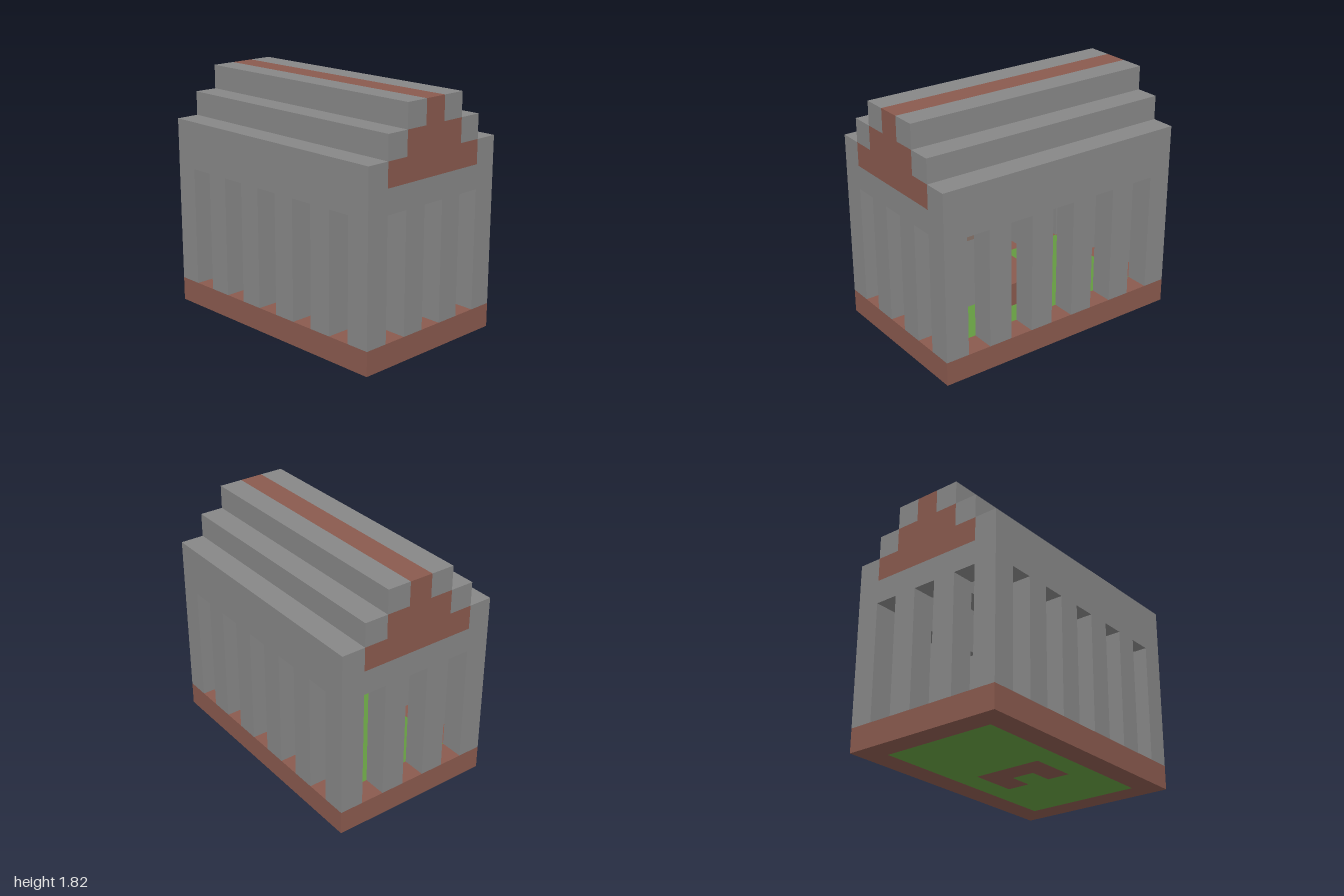
import * as THREE from 'three';

const U = 2 / 11; // side of one building block

const stone = new THREE.MeshStandardMaterial({ name: 'stone grey', color: 0x878787 });
const brick = new THREE.MeshStandardMaterial({ name: 'brick brown', color: 0x8a5a4e });
const grass = new THREE.MeshStandardMaterial({ name: 'grass green', color: 0x649a40 });
const clay = new THREE.MeshStandardMaterial({ name: 'clay tan', color: 0x87746a });

// Box covering whole blocks: x and z are block indices from the centre, y counts up from the ground
function block(parent, name, material, [x0, x1], [y0, y1], [z0, z1]) {
  const size = [x1 - x0 + 1, y1 - y0 + 1, z1 - z0 + 1].map((n) => n * U);
  const mesh = new THREE.Mesh(new THREE.BoxGeometry(...size), material);
  mesh.position.set(((x0 + x1) / 2) * U, ((y0 + y1 + 1) / 2) * U, ((z0 + z1) / 2) * U);
  mesh.name = name;
  parent.add(mesh);
}

function section(parent, name) {
  const group = new THREE.Group();
  group.name = name;
  parent.add(group);
  return group;
}

export function createModel() {
  const model = new THREE.Group();
  model.name = 'pillaredHall';

  // Foundation frame
  const base = section(model, 'foundation');
  for (const s of [-1, 1]) {
    block(base, 'sideFoundation', brick, [3 * s, 3 * s], [0, 0], [-5, 5]);
    block(base, 'endFoundation', brick, [-2, 2], [0, 0], [5 * s, 5 * s]);
  }

  // Grass floor, laid around the U-shaped bench
  const floor = section(model, 'grassFloor');
  block(floor, 'backLawn', grass, [-2, 2], [0, 0], [-4, -1]);
  block(floor, 'frontLawn', grass, [-2, 2], [0, 0], [2, 4]);
  block(floor, 'middleLawn', grass, [0, 0], [0, 0], [1, 1]);
  for (const s of [-1, 1]) block(floor, 'sideLawn', grass, [2 * s, 2 * s], [0, 0], [0, 1]);

  // Bench, set into the floor
  const bench = section(model, 'bench');
  block(bench, 'benchBack', brick, [-1, 1], [0, 1], [0, 0]);
  for (const s of [-1, 1]) block(bench, 'benchArm', brick, [s, s], [0, 1], [1, 1]);

  // Inner post with a clay cap
  const post = section(model, 'innerPost');
  block(post, 'postShaft', stone, [0, 0], [1, 3], [2, 2]);
  block(post, 'postCap', clay, [0, 0], [4, 4], [2, 2]);

  // Pillars and the beam that rests on them
  const walls = section(model, 'walls');
  for (const s of [-1, 1]) {
    for (let z = -5; z <= 5; z += 2) block(walls, 'sidePillar', stone, [3 * s, 3 * s], [1, 5], [z, z]);
    for (const x of [-1, 1]) block(walls, 'endPillar', stone, [x, x], [1, 5], [5 * s, 5 * s]);
    block(walls, 'sideBeam', stone, [3 * s, 3 * s], [6, 6], [-5, 5]);
    block(walls, 'endBeam', stone, [-2, 2], [6, 6], [5 * s, 5 * s]);
  }

  // Stepped roof with a brick ridge and brick gables
  const roof = section(model, 'roof');
  for (const s of [-1, 1]) {
    for (let i = 0; i < 3; i++) {
      const x = (3 - i) * s;
      block(roof, 'roofStep', stone, [x, x], [7 + i, 7 + i], [-5, 5]);
    }
    block(roof, 'lowerGable', brick, [-2, 2], [7, 7], [5 * s, 5 * s]);
    block(roof, 'upperGable', brick, [-1, 1], [8, 8], [5 * s, 5 * s]);
  }
  block(roof, 'ridge', brick, [0, 0], [9, 9], [-5, 5]);

  return model;
}
